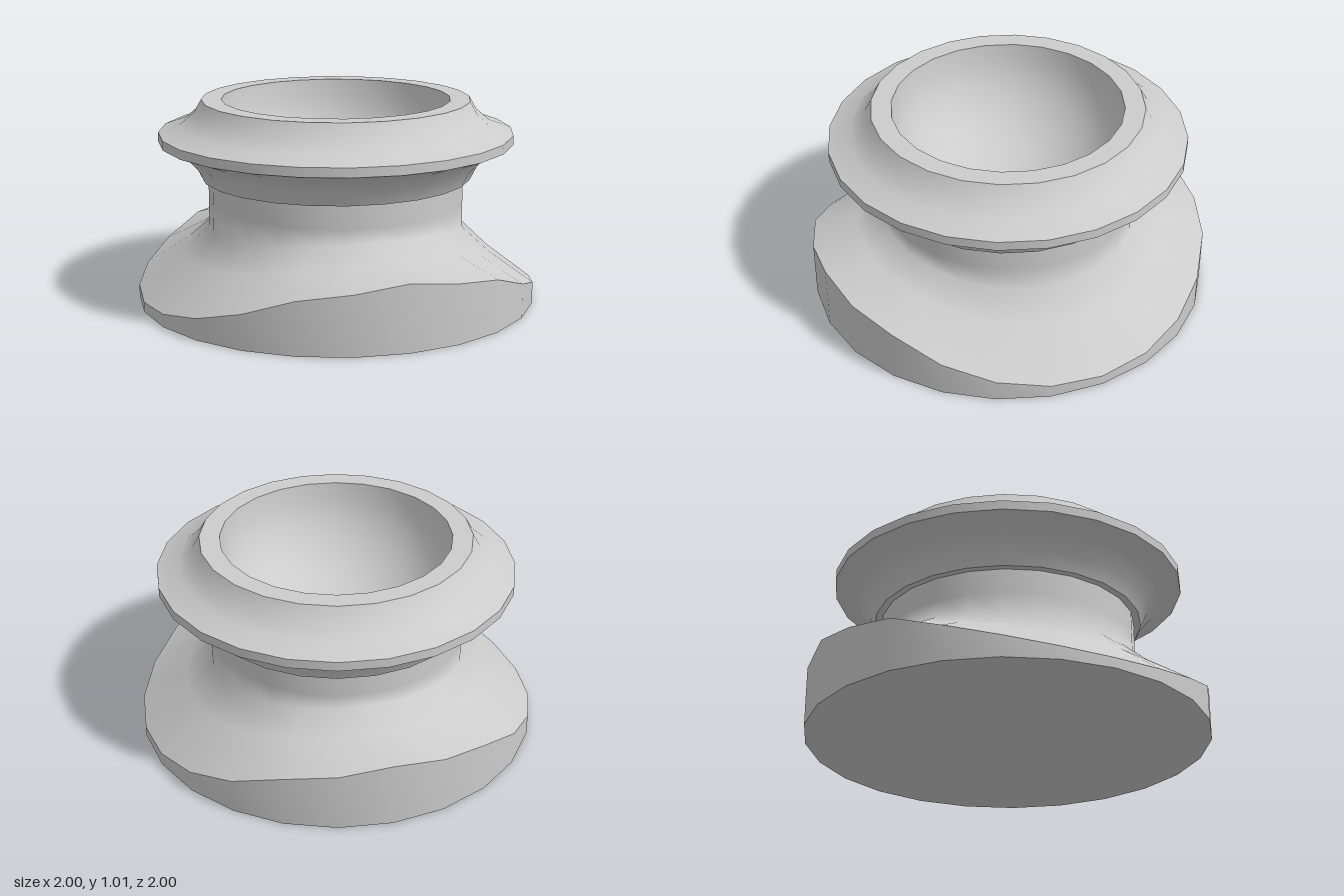
import * as THREE from 'three';
import { mergeVertices } from 'three/addons/utils/BufferGeometryUtils.js';

const SIDES = 24;
const material = new THREE.MeshStandardMaterial({ color: 0xcccccc });

// Saddle amount around the foot: 1 towards front and back, 0 towards the sides
function saddle(x, r) {
  const u = Math.min(1, Math.abs(x) / r);
  return u < 0.5 ? 1 - 0.5 * u : 0.75 - 1.5 * (u - 0.5);
}

// Smooth surface of revolution; each point is [radius, height, extra height at front and back]
function band(name, profile) {
  let geo = new THREE.LatheGeometry(profile.map(([r, y]) => new THREE.Vector2(r, y)), SIDES);
  if (profile.some((p) => p[2])) {
    const pos = geo.attributes.position;
    for (let i = 0; i < pos.count; i++) {
      const [r, y, lift = 0] = profile[i % profile.length];
      pos.setY(i, y + lift * saddle(pos.getX(i), r));
    }
    // Weld the seam so the bent surface shades smoothly all round
    geo.deleteAttribute('uv');
    geo.deleteAttribute('normal');
    geo = mergeVertices(geo);
    geo.computeVertexNormals();
  }
  const mesh = new THREE.Mesh(geo, material);
  mesh.name = name;
  return mesh;
}

export function createModel() {
  const group = new THREE.Group();
  group.name = 'saddleFootedCup';

  // Foot: flat underside, wall with a saddle-shaped rim, skirt sweeping into the neck
  group.add(band('footUnderside', [[0, 0], [1, 0]].reverse().map(([r, y]) => [r, y]).reverse().map((p) => p)));
  group.add(band('footWall', [[1, 0], [1, 0.05, 0.28]]));
  group.add(band('skirtAndNeck', [
    [1, 0.05, 0.28], [0.77, 0.235, 0.135], [0.64, 0.365, 0.065], [0.64, 0.5], [0.64, 0.62],
  ]));

  // Collar: flared underside, thin outer edge, flared top and flat lip
  group.add(band('collarLedge', [[0.64, 0.62], [0.675, 0.62]]));
  group.add(band('collarUnderside', [[0.675, 0.62], [0.71, 0.69], [0.775, 0.76], [0.885, 0.802]]));
  group.add(band('collarEdge', [[0.885, 0.802], [0.885, 0.848]]));
  group.add(band('collarTop', [[0.885, 0.848], [0.775, 0.887], [0.707, 0.945], [0.67, 1.01]]));
  group.add(band('lip', [[0.67, 1.01], [0.57, 1.01]]));

  // Rounded bowl sunk into the collar
  const bowl = [];
  for (let i = 0; i <= 8; i++) {
    const a = (i / 8) * Math.PI / 2;
    bowl.push([i === 8 ? 0 : 0.57 * Math.cos(a), 1.01 - 0.5 * Math.sin(a)]);
  }
  group.add(band('bowl', bowl));

  return group;
}
